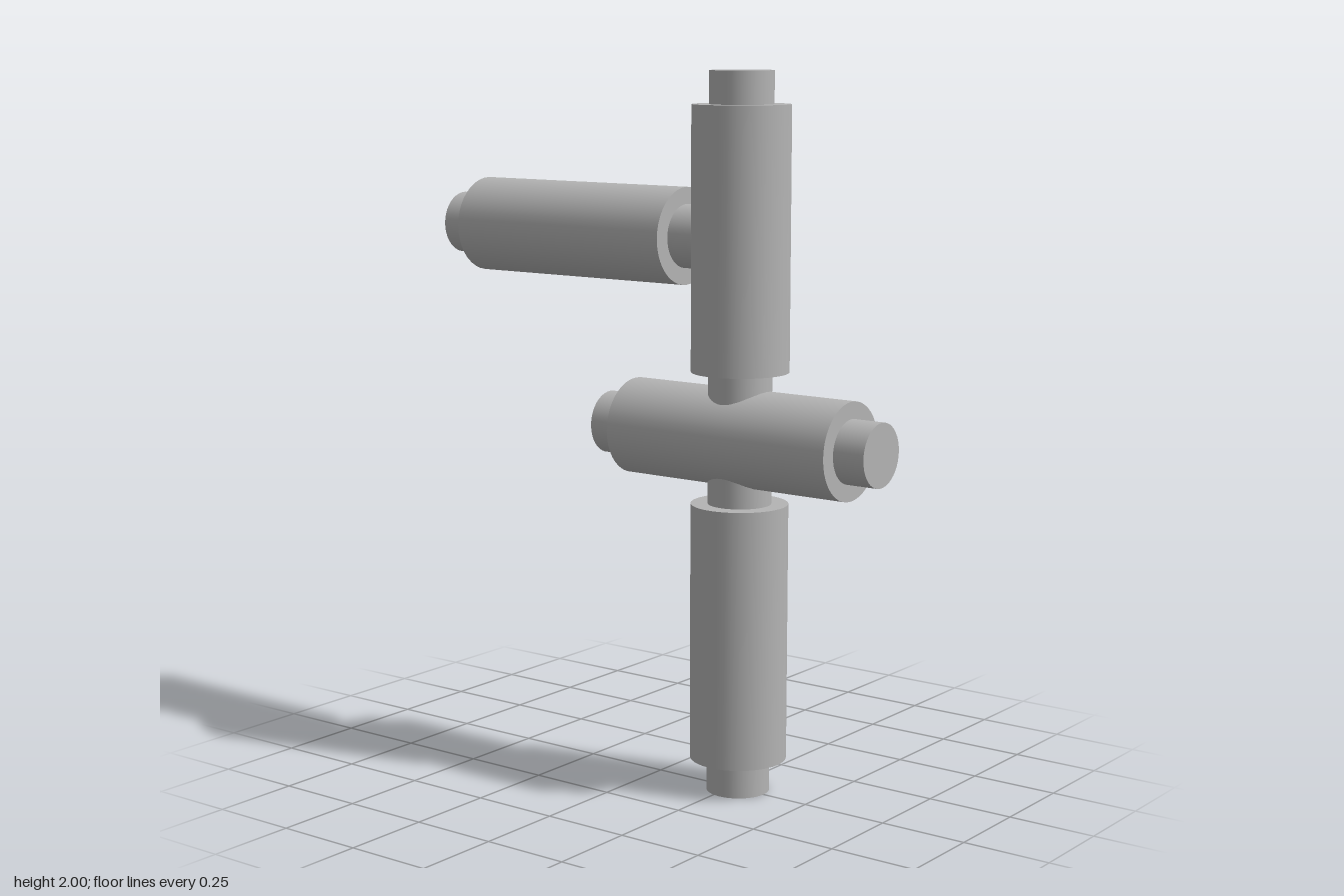
import * as THREE from 'three';

const CORE_R = 0.088, SLEEVE_R = 0.135, SIDES = 40;
const POST_Z = 0.272; // depth of the upright's axis

export function createModel() {
  const group = new THREE.Group();
  const grey = new THREE.MeshStandardMaterial({ color: 0xb4b4b4 });
  grey.name = 'plain grey';

  // A rod from a to b along y (upright) or along z at height y
  function rod(name, radius, a, b, y = null) {
    const geometry = new THREE.CylinderGeometry(radius, radius, b - a, SIDES);
    if (y !== null) geometry.rotateX(Math.PI / 2);
    const mesh = new THREE.Mesh(geometry, grey);
    const mid = (a + b) / 2;
    if (y === null) mesh.position.set(0, mid, POST_Z);
    else mesh.position.set(0, y, mid);
    mesh.name = name;
    group.add(mesh);
  }

  // Upright: one thin core with two thick sleeves
  rod('uprightCore', CORE_R, 0, 2);
  rod('lowerSleeve', SLEEVE_R, 0.095, 0.82);
  rod('upperSleeve', SLEEVE_R, 1.186, 1.91);

  // Crossbar through the middle of the upright
  rod('crossbarCore', CORE_R, -0.181, 0.727, 1.003);
  rod('crossbarSleeve', SLEEVE_R, -0.087, 0.633, 1.003);

  // Branch reaching backwards from the upper sleeve
  rod('branchCore', CORE_R, -0.727, POST_Z, 1.547);
  rod('branchSleeve', SLEEVE_R, -0.633, 0.089, 1.547);

  return group;
}
